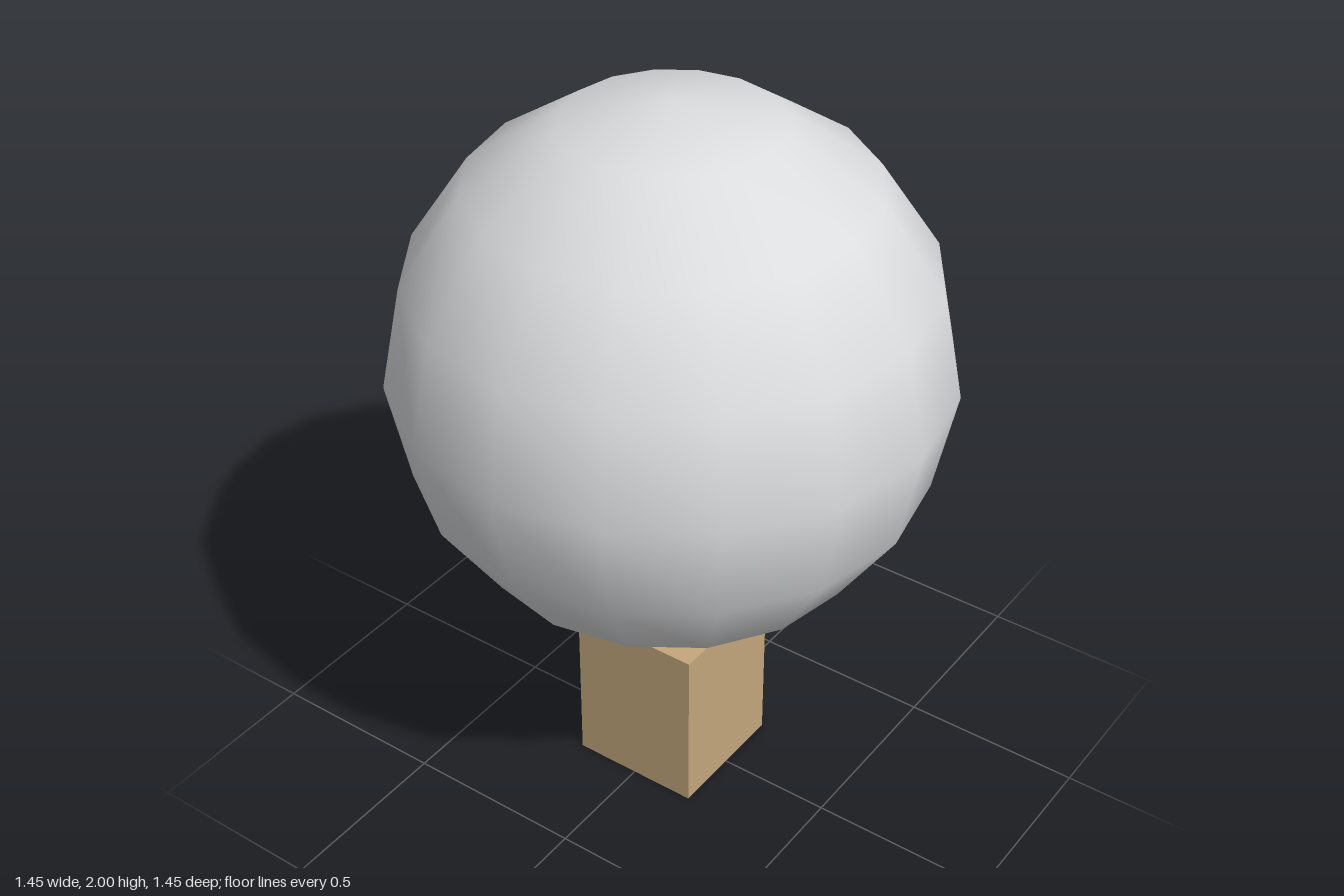
import * as THREE from 'three';

export function createModel() {
  const group = new THREE.Group();
  const paleGrey = new THREE.MeshStandardMaterial({ color: 0xdcdddf });
  paleGrey.name = 'paleGrey';
  const tan = new THREE.MeshStandardMaterial({ color: 0xc4a77d });
  tan.name = 'tan';

  const add = (name, geometry, material, y) => {
    const mesh = new THREE.Mesh(geometry, material);
    mesh.name = name;
    mesh.position.y = y;
    group.add(mesh);
  };

  // Square base block
  add('base', new THREE.BoxGeometry(0.366, 0.488, 0.366), tan, 0.244);
  // Thin neck between block and collar
  add('neck', new THREE.CylinderGeometry(0.065, 0.065, 0.06, 16), paleGrey, 0.51);
  // Wider collar holding the globe
  add('collar', new THREE.CylinderGeometry(0.145, 0.145, 0.05, 16), paleGrey, 0.555);
  // Coarse, smoothly shaded globe
  add('globe', new THREE.SphereGeometry(0.725, 16, 8), paleGrey, 1.275);

  return group;
}
